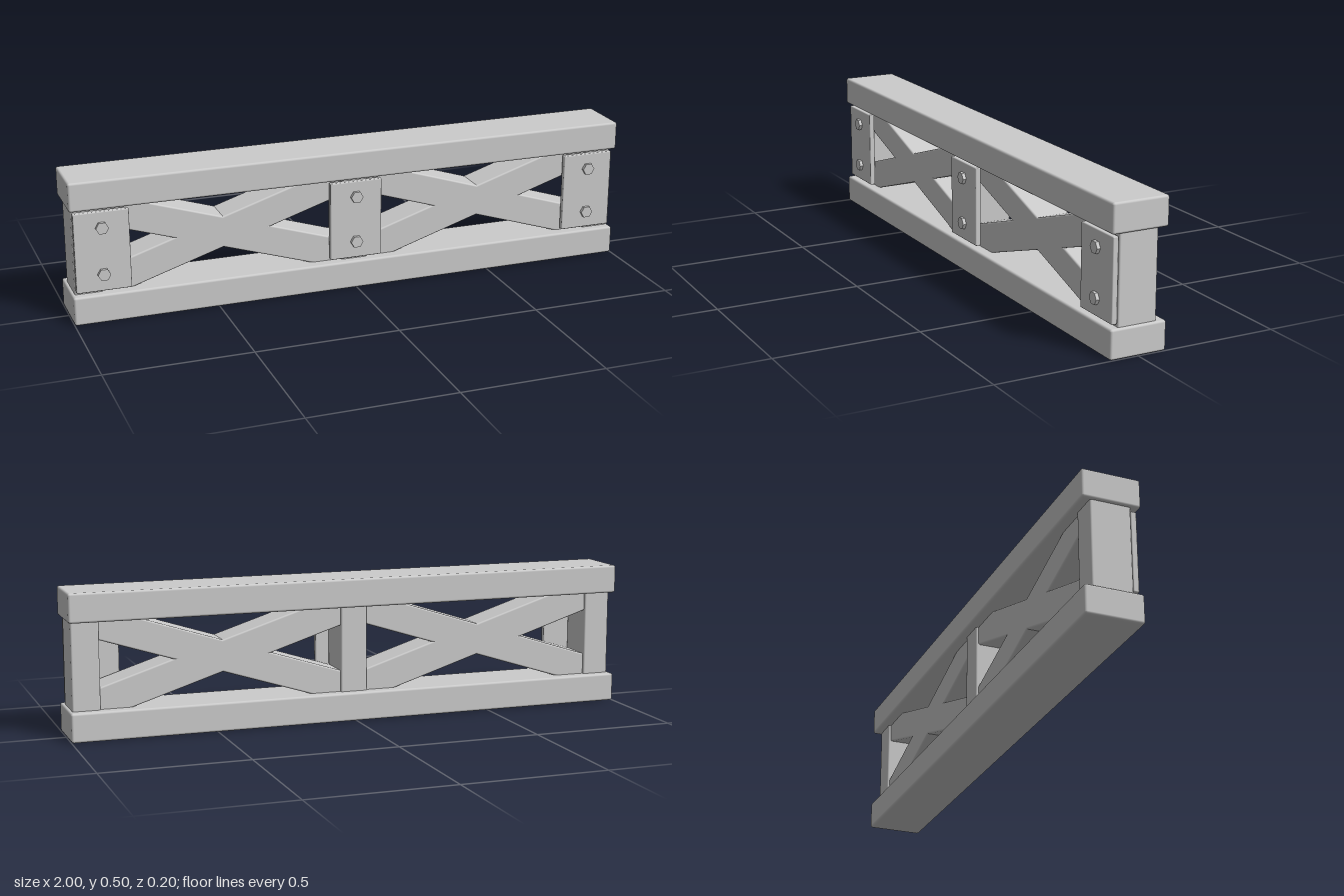
import * as THREE from 'three';
import { RoundedBoxGeometry } from 'three/addons/geometries/RoundedBoxGeometry.js';

const material = new THREE.MeshStandardMaterial({ color: 0xcccccc });

export function createModel() {
  const group = new THREE.Group();
  group.name = 'trussRailing';

  const add = (name, geometry, x, y, z = 0, tilt = 0) => {
    const mesh = new THREE.Mesh(geometry, material);
    mesh.name = name;
    mesh.position.set(x, y, z);
    mesh.rotation.z = tilt;
    group.add(mesh);
  };

  // Long rails
  const rail = new RoundedBoxGeometry(2, 0.1, 0.2, 2, 0.008);
  add('bottomRail', rail, 0, 0.05);
  add('topRail', rail, 0, 0.45);

  // Posts, each with a bolted plate on the front
  const post = new RoundedBoxGeometry(0.095, 0.32, 0.138, 2, 0.006);
  const plate = new RoundedBoxGeometry(0.188, 0.28, 0.02, 2, 0.004);
  const bolt = new THREE.CylinderGeometry(0.022, 0.022, 0.016, 6, 1, false, Math.PI / 6)
    .toNonIndexed().rotateX(Math.PI / 2);
  bolt.computeVertexNormals();
  for (const side of [-1, 0, 1]) {
    add('post', post, side * 0.942, 0.25);
    add('plate', plate, side * 0.893, 0.25, 0.08);
    for (const y of [0.17, 0.334]) add('bolt', bolt, side * 0.893, y, 0.094);
  }

  // Crossed braces in both bays
  const brace = new RoundedBoxGeometry(0.97, 0.105, 0.12, 2, 0.006);
  for (const x of [-0.47, 0.47]) {
    for (const tilt of [-0.308, 0.308]) add('brace', brace, x, 0.254, 0, tilt);
  }

  return group;
}
